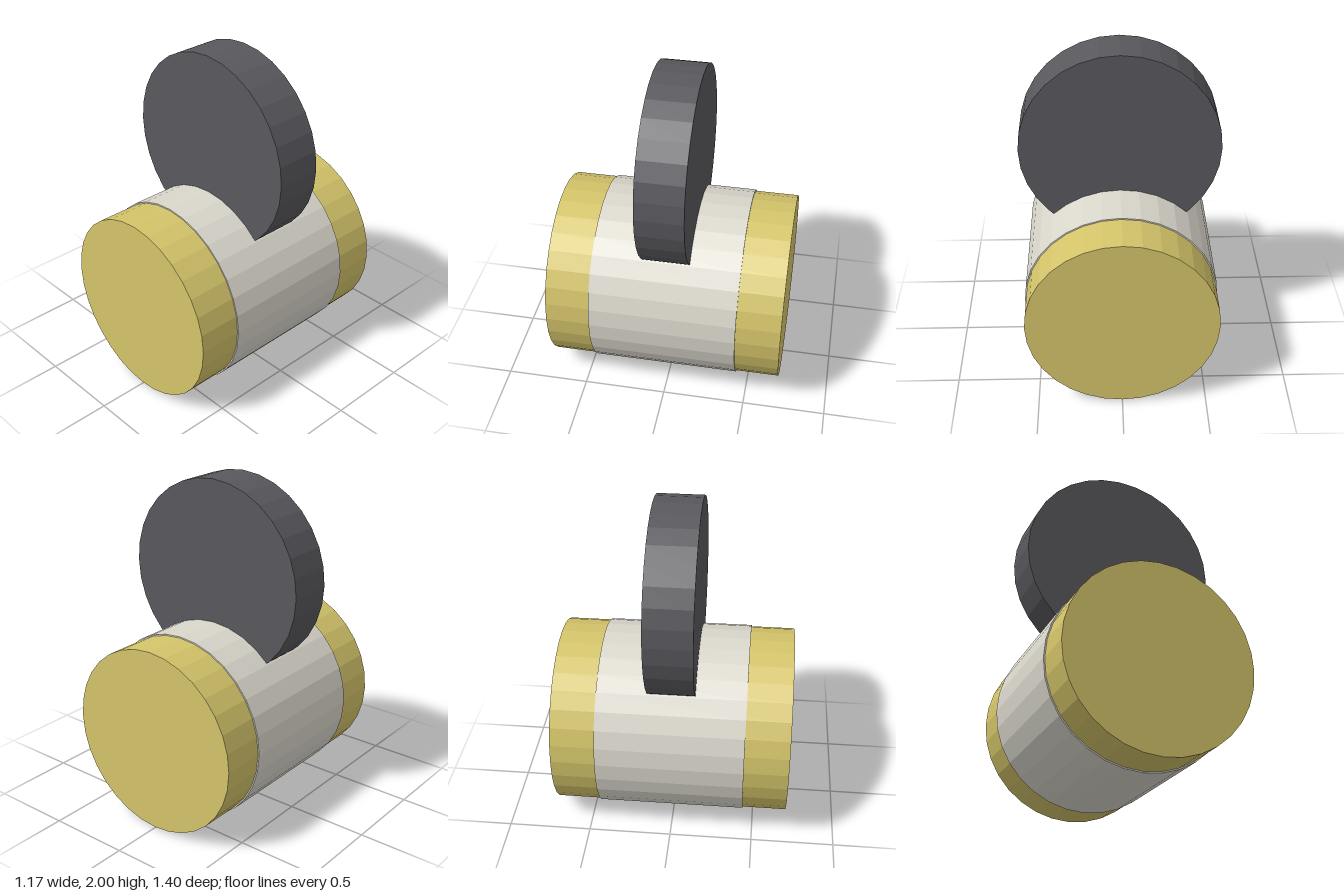
import * as THREE from 'three';

const SIDES = 32;

// Flat-shaded cylinder lying along z
function drum(name, radius, length, y, color) {
  const geometry = new THREE.CylinderGeometry(radius, radius, length, SIDES);
  geometry.rotateX(Math.PI / 2);
  const mesh = new THREE.Mesh(geometry, new THREE.MeshStandardMaterial({ color, flatShading: true }));
  mesh.name = name;
  mesh.position.y = y;
  return mesh;
}

export function createModel() {
  const group = new THREE.Group();
  group.name = 'drumWithDisc';
  group.add(
    // brass core showing at both ends of the sleeve
    drum('core', 0.562, 1.4, 0.57, 0xd4c46a),
    // pale sleeve around the middle
    drum('sleeve', 0.57, 0.875, 0.57, 0xdad7cc),
    // dark upright disc sunk into the top of the sleeve
    drum('disc', 0.587, 0.28, 1.413, 0x59585d),
  );
  return group;
}
